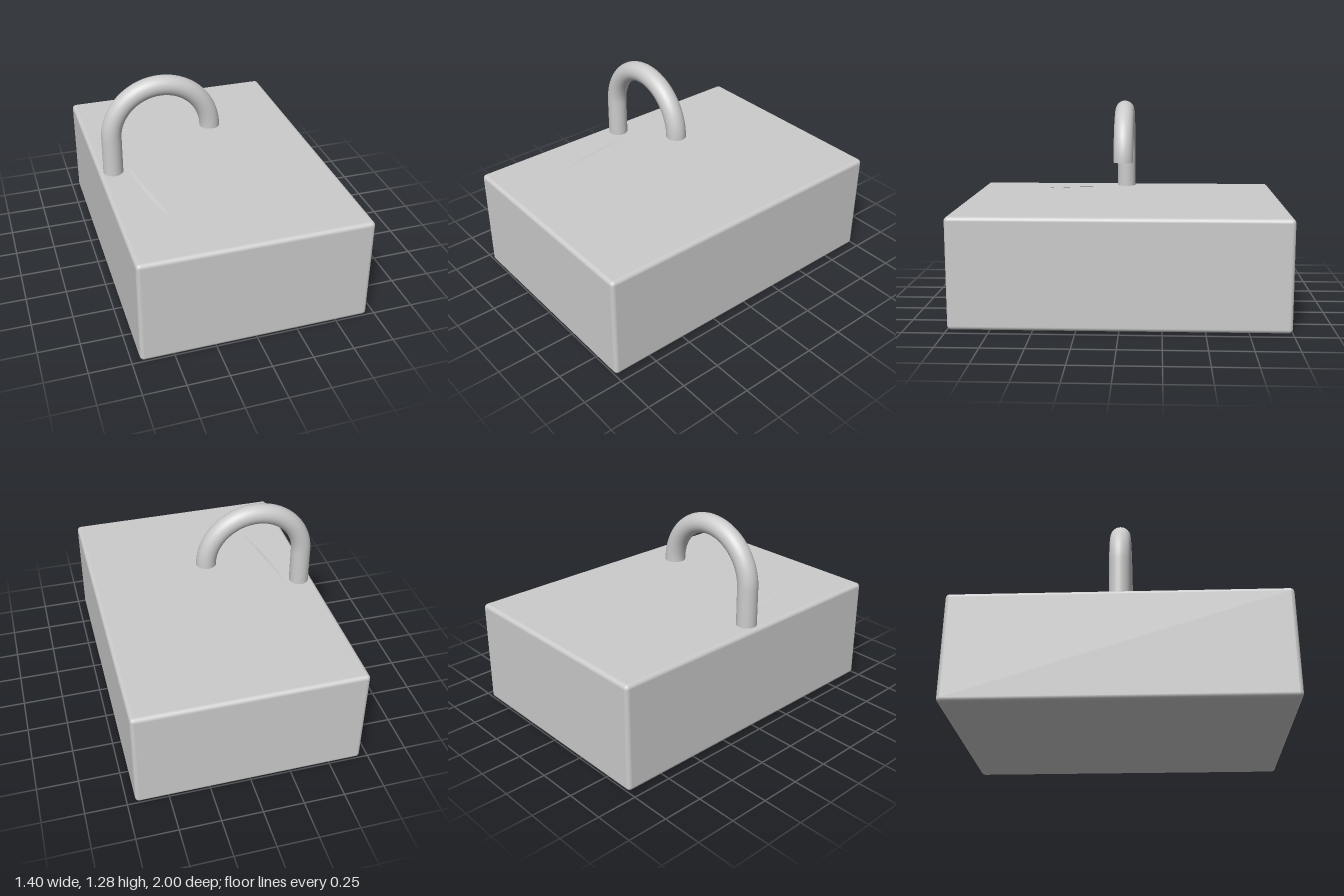
import * as THREE from 'three';
import { RoundedBoxGeometry } from 'three/addons/geometries/RoundedBoxGeometry.js';

const TOP = 0.668, TUBE = 0.062, ARCH = 0.312, ARCH_X = -0.298, ARCH_Y = 0.903;

function addMesh(parent, name, geometry, material) {
  const mesh = new THREE.Mesh(geometry, material);
  mesh.name = name;
  parent.add(mesh);
  return mesh;
}

// Thin crescent strip: curved edge on the surface, straight edge slightly raised
function sliverGeometry(steps = 16) {
  const pos = [], index = [];
  for (let i = 0; i <= steps; i++) {
    const t = i / steps;
    const x = -0.515 + 0.11 * t, z = -0.03 + 0.63 * t, bulge = Math.sin(Math.PI * t);
    pos.push(x - 0.022 * bulge, TOP + 0.001, z, x, TOP + 0.001 + 0.005 * bulge, z);
    if (i < steps) {
      const a = 2 * i;
      index.push(a, a + 2, a + 1, a + 1, a + 2, a + 3);
    }
  }
  const g = new THREE.BufferGeometry();
  g.setAttribute('position', new THREE.Float32BufferAttribute(pos, 3));
  g.setIndex(index);
  g.computeVertexNormals();
  return g;
}

export function createModel() {
  const model = new THREE.Group();
  model.name = 'padlock';
  const grey = new THREE.MeshStandardMaterial({ color: 0xcccccc });
  const thin = new THREE.MeshStandardMaterial({ color: 0xcccccc, side: THREE.DoubleSide });

  // Body block with softly rounded edges
  addMesh(model, 'body', new RoundedBoxGeometry(1.4, TOP, 2, 4, 0.025), grey).position.y = TOP / 2;

  // Open shackle: half ring, one long leg, and a flat cap on the free end
  const shackle = new THREE.Group();
  shackle.name = 'shackle';
  model.add(shackle);
  addMesh(shackle, 'shackleArch', new THREE.TorusGeometry(ARCH, TUBE, 32, 64, Math.PI), grey)
    .position.set(ARCH_X, ARCH_Y, 0);

  const legBottom = 0.6;
  addMesh(shackle, 'shackleLeg',
    new THREE.CylinderGeometry(TUBE, TUBE, ARCH_Y - legBottom, 32), grey)
    .position.set(ARCH_X - ARCH, (ARCH_Y + legBottom) / 2, 0);

  const cap = addMesh(shackle, 'shackleEnd', new THREE.CircleGeometry(TUBE, 32), grey);
  cap.rotation.x = Math.PI / 2;
  cap.position.set(ARCH_X + ARCH, ARCH_Y, 0);

  // Narrow crescent on the top face
  addMesh(model, 'topSliver', sliverGeometry(), thin);

  return model;
}
